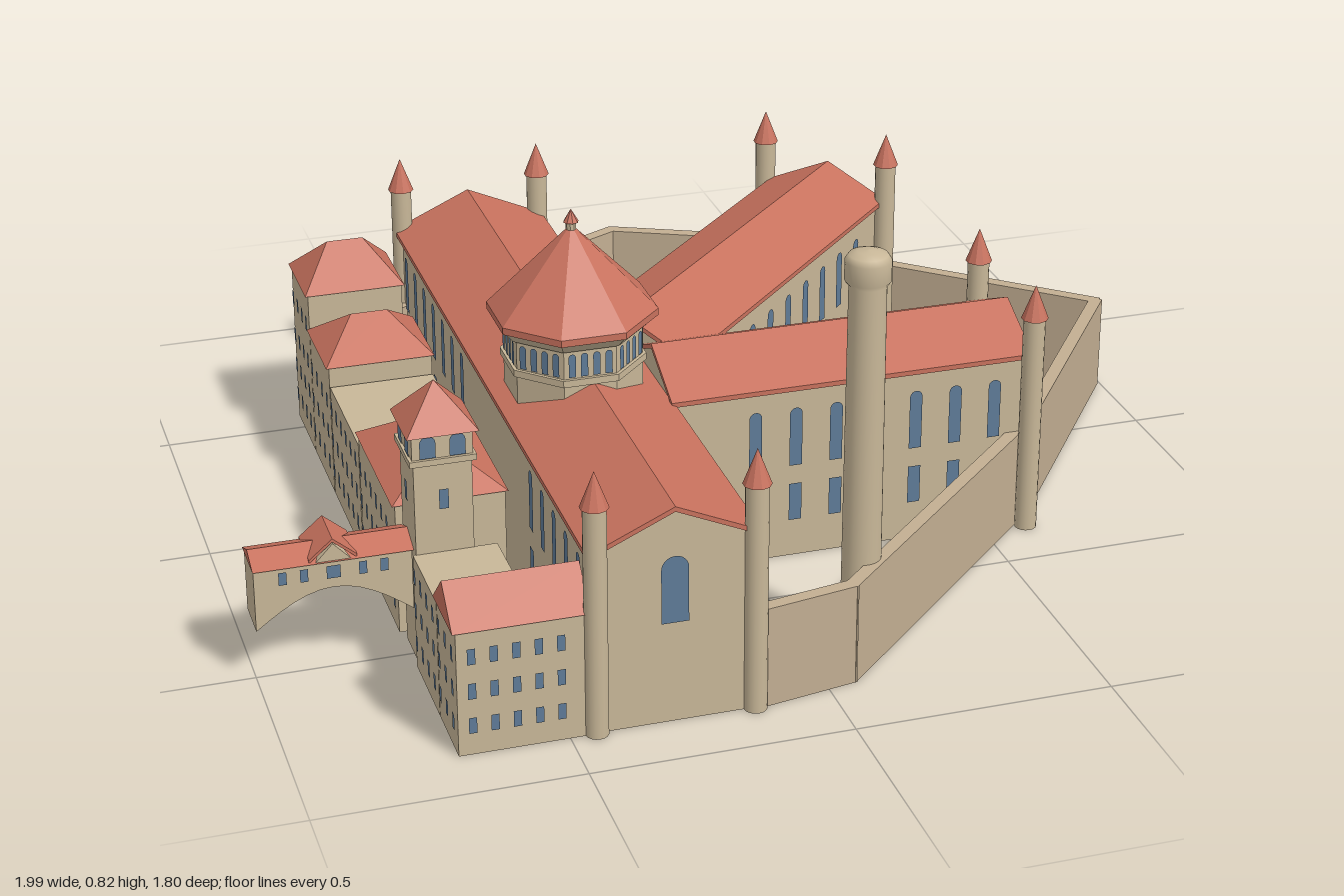
import * as THREE from 'three';

const D = THREE.DoubleSide;
const stone = new THREE.MeshStandardMaterial({ name: 'sandstone', color: 0xc8b798, side: D });
const rampart = new THREE.MeshStandardMaterial({ name: 'rampartStone', color: 0xc2ae92, side: D });
const tile = new THREE.MeshStandardMaterial({ name: 'redTile', color: 0xc8725e, side: D });
const glass = new THREE.MeshStandardMaterial({ name: 'blueGlass', color: 0x5f7b98, side: D });

function add(parent, name, geo, mat, x = 0, y = 0, z = 0, ry = 0) {
  const m = new THREE.Mesh(geo, mat);
  m.name = name;
  m.position.set(x, y, z);
  m.rotation.y = ry;
  parent.add(m);
  return m;
}

function group(parent, name, x = 0, z = 0, ry = 0) {
  const g = new THREE.Group();
  g.name = name;
  g.position.set(x, 0, z);
  g.rotation.y = ry;
  parent.add(g);
  return g;
}

function flat(geo) {
  const g = geo.index ? geo.toNonIndexed() : geo;
  g.computeVertexNormals();
  return g;
}

// Faceted prism or pyramid with flat sides parallel to the axes
const prism = (top, bottom, h, n, open = false) =>
  flat(new THREE.CylinderGeometry(top, bottom, h, n, 1, open).rotateY(Math.PI / n));

// Four walls without floor or ceiling
const shell = (w, h, d) =>
  flat(prism(Math.SQRT1_2, Math.SQRT1_2, 1, 4, true).scale(w, h, d));

// Hipped roof: the top of a box drawn in to a ridge
function hip(w, h, d, ridgeX, ridgeZ) {
  const g = new THREE.BoxGeometry(w, h, d);
  const p = g.attributes.position;
  for (let i = 0; i < p.count; i++) {
    if (p.getY(i) > 0) p.setXYZ(i, Math.sign(p.getX(i)) * ridgeX / 2, h / 2, Math.sign(p.getZ(i)) * ridgeZ / 2);
  }
  return flat(g);
}

function windowGeo(w, h, arched = true) {
  const s = new THREE.Shape();
  const top = arched ? h - w / 2 : h;
  s.moveTo(-w / 2, 0);
  s.lineTo(w / 2, 0);
  s.lineTo(w / 2, top);
  if (arched) s.absarc(0, top, w / 2, 0, Math.PI, false);
  else s.lineTo(-w / 2, top);
  s.closePath();
  return new THREE.ShapeGeometry(s, 6);
}

const extrude = (pts, depth) => new THREE.ExtrudeGeometry(
  new THREE.Shape(pts.map(p => new THREE.Vector2(...p))), { depth, bevelEnabled: false }).translate(0, 0, -depth / 2);

// Gabled hall running along its own z axis, outer end at +z
function hall(parent, name, x, z, ry, len, half, eave, slots) {
  const g = group(parent, name, x, z, ry);
  const ridge = 0.44, w = half - 0.012, t = 0.01, l = len - 0.012;
  const wallTop = eave + (ridge - eave) * (1 - w / half) - t;
  for (const s of [-1, 1]) {
    add(g, 'sideWall', new THREE.PlaneGeometry(l, wallTop), stone, s * w, wallTop / 2, 0, s * Math.PI / 2);
    const gable = new THREE.Shape([[-w, 0], [w, 0], [w, wallTop], [0, ridge - t], [-w, wallTop]].map(p => new THREE.Vector2(...p)));
    add(g, 'gableWall', new THREE.ShapeGeometry(gable), stone, 0, 0, s * l / 2, s > 0 ? 0 : Math.PI);
    for (const p of slots) {
      add(g, 'archedWindow', windowGeo(0.026, 0.125), glass, s * (w + 0.003), 0.2, p, s * Math.PI / 2);
      add(g, 'lowerWindow', windowGeo(0.026, 0.08, false), glass, s * (w + 0.003), 0.08, p, s * Math.PI / 2);
    }
  }
  add(g, 'gableWindow', windowGeo(0.052, 0.135), glass, 0, 0.205, l / 2 + 0.003);
  add(g, 'roof', extrude([[-half, eave - t], [0, ridge - t], [half, eave - t], [half, eave], [0, ridge], [-half, eave]], len), tile);
  return g;
}

// Side building: x and z limits, wall height, optional hipped roof, rows of small windows
function annex(parent, name, x0, x1, z0, z1, h, roof, rows) {
  const g = group(parent, name, (x0 + x1) / 2, (z0 + z1) / 2);
  const w = x1 - x0, d = z1 - z0;
  add(g, 'walls', shell(w - 0.012, h, d - 0.006), stone, 0, h / 2);
  if (roof) add(g, 'roof', hip(w, roof.h, d, roof.x, roof.z), tile, 0, h + roof.h / 2);
  else add(g, 'flatRoof', new THREE.BoxGeometry(w - 0.012, 0.008, d - 0.006), stone, 0, h - 0.004);
  const n = Math.max(1, Math.round(d / 0.045));
  for (const y of rows) for (let i = 0; i < n; i++) {
    add(g, 'smallWindow', windowGeo(0.015, 0.032, false), glass, -w / 2 + 0.003, y, ((i + 0.5) / n - 0.5) * d, -Math.PI / 2);
  }
  return g;
}

function range(from, step, n) {
  return Array.from({ length: n }, (_, i) => from + i * step);
}

export function createModel() {
  const root = new THREE.Group();
  root.name = 'walledHallComplex';

  // Three gabled halls
  const long = hall(root, 'longHall', -0.303, 0.115, 0, 1.53, 0.163, 0.367,
    [...range(-0.7, 0.083, 7), ...range(0.34, 0.083, 5)]);
  add(long, 'rearGableWindow', windowGeo(0.052, 0.135), glass, 0, 0.205, -0.763, Math.PI);
  hall(root, 'eastWing', 0.2225, 0.22, Math.PI / 2, 0.745, 0.138, 0.375, range(-0.2, 0.083, 7));
  hall(root, 'diagonalWing', 0.167, -0.247, Math.PI * 0.75, 0.925, 0.138, 0.375, range(-0.16, 0.083, 7));

  // Slender corner turrets
  for (const [x, z] of [[-0.45, -0.645], [-0.15, -0.645], [-0.45, 0.875], [-0.15, 0.875],
    [0.59, 0.075], [0.59, 0.37], [0.385, -0.68], [0.59, -0.47]]) {
    const g = group(root, 'cornerTurret', x, z);
    add(g, 'shaft', new THREE.CylinderGeometry(0.022, 0.022, 0.465, 16), stone, 0, 0.2325);
    add(g, 'cap', flat(new THREE.ConeGeometry(0.027, 0.07, 10)), tile, 0, 0.495);
  }

  // Octagonal crossing tower
  const tower = group(root, 'crossingTower', -0.31, 0.23);
  add(tower, 'drum', prism(0.135, 0.135, 0.53, 8, true), stone, 0, 0.265);
  add(tower, 'sillBand', prism(0.142, 0.142, 0.014, 8), stone, 0, 0.447);
  add(tower, 'cornice', prism(0.16, 0.142, 0.022, 8), stone, 0, 0.524);
  add(tower, 'eaves', prism(0.166, 0.166, 0.014, 8), tile, 0, 0.542);
  add(tower, 'roof', prism(0.008, 0.166, 0.16, 8), tile, 0, 0.629);
  add(tower, 'finialShaft', prism(0.01, 0.01, 0.025, 8), stone, 0, 0.711);
  add(tower, 'finialCap', flat(new THREE.ConeGeometry(0.015, 0.026, 8)), tile, 0, 0.735);
  for (let i = 0; i < 8; i++) {
    const face = group(tower, 'drumFace', 0, 0, i * Math.PI / 4);
    for (const x of range(-0.036, 0.024, 4)) {
      add(face, 'lancet', windowGeo(0.014, 0.048), glass, x, 0.458, 0.1278);
    }
  }

  // Chimney with rounded cap
  const stack = [[0.038, 0], [0.035, 0.755], [0.043, 0.765], [0.043, 0.803], [0.036, 0.814], [0.02, 0.82], [0, 0.822]];
  const half = stack.map(p => new THREE.Vector2(...p));
  add(root, 'chimney', new THREE.LatheGeometry(half, 24), stone, 0.1, 0, 0.74);

  // Perimeter wall
  const path = [[-0.15, 0.868], [0.05, 0.833], [0.61, 0.305], [0.98, -0.195], [0.34, -0.765], [0.085, -0.885], [-0.6, -0.55]];
  for (let i = 0; i < path.length - 1; i++) {
    const [ax, az] = path[i], [bx, bz] = path[i + 1];
    add(root, 'perimeterWall', new THREE.BoxGeometry(Math.hypot(bx - ax, bz - az) + 0.012, 0.203, 0.027), rampart,
      (ax + bx) / 2, 0.1015, (az + bz) / 2, Math.atan2(az - bz, bx - ax));
  }

  // Row of side buildings
  const rows = [0.045, 0.115, 0.185];
  const rear = annex(root, 'rearPavilion', -0.715, -0.505, -0.562, -0.382, 0.355, { h: 0.08, x: 0.075, z: 0 }, [...rows, 0.27]);
  for (const y of [...rows, 0.27]) for (const x of range(-0.075, 0.05, 4)) {
    add(rear, 'rearWindow', windowGeo(0.015, 0.032, false), glass, x, y, -0.09, Math.PI);
  }
  annex(root, 'lowPavilion', -0.715, -0.49, -0.385, -0.185, 0.28, { h: 0.07, x: 0.075, z: 0 }, rows);
  annex(root, 'flatRange', -0.715, -0.49, -0.185, 0.09, 0.24, null, rows);
  annex(root, 'middlePavilion', -0.715, -0.49, 0.09, 0.418, 0.27, { h: 0.075, x: 0, z: 0.11 }, rows);
  annex(root, 'flatLink', -0.712, -0.54, 0.545, 0.735, 0.235, null, rows);

  // Front side building, its ridge running across
  const front = annex(root, 'frontPavilion', -0.712, -0.46, 0.732, 0.88, 0.25, { h: 0.07, x: 0.252, z: 0 }, rows);
  for (const y of rows) for (const x of range(-0.093, 0.041, 5)) {
    add(front, 'frontWindow', windowGeo(0.015, 0.032, false), glass, x, y, 0.074);
  }

  // Gate tower
  const gate = group(root, 'gateTower', -0.645, 0.495);
  add(gate, 'shaft', shell(0.11, 0.425, 0.11), stone, 0, 0.2125);
  add(gate, 'ledge', new THREE.BoxGeometry(0.126, 0.012, 0.126), stone, 0, 0.424);
  add(gate, 'belfry', shell(0.114, 0.055, 0.114), stone, 0, 0.455);
  add(gate, 'roof', hip(0.136, 0.082, 0.136, 0, 0), tile, 0, 0.519);
  for (let i = 0; i < 4; i++) {
    const face = group(gate, 'gateFace', 0, 0, i * Math.PI / 2);
    for (const x of [-0.028, 0.028]) add(face, 'belfryWindow', windowGeo(0.03, 0.045), glass, x, 0.432, 0.06);
    add(face, 'shaftWindow', windowGeo(0.018, 0.04, false), glass, 0, 0.325, 0.058);
  }

  // Arched bridge with tiled roof and a small cross gable
  const bridge = group(root, 'bridge', -0.85, 0.478);
  const arch = range(0, 1, 13).map(i => {
    const x = -0.148 + i * 0.296 / 12;
    return [x, 0.11 + 0.07 * Math.cos(x / 0.148 * Math.PI / 2)];
  });
  add(bridge, 'archedBody', extrude([...arch, [0.148, 0.238], [-0.148, 0.238]], 0.09), stone);
  add(bridge, 'roof', hip(0.3, 0.022, 0.106, 0.3, 0), tile, 0, 0.247);
  add(bridge, 'crossGable', extrude([[-0.034, 0.236], [0.034, 0.236], [0, 0.272]], 0.1), stone);
  add(bridge, 'crossGableRoof', extrude([[-0.045, 0.236], [0, 0.274], [0.045, 0.236], [0.045, 0.243], [0, 0.281], [-0.045, 0.243]], 0.096), tile);
  for (const s of [-1, 1]) for (const x of [-0.095, -0.055, 0, 0.055, 0.095]) {
    add(bridge, 'bridgeWindow', windowGeo(x ? 0.015 : 0.026, 0.026, false), glass, x, 0.2, s * 0.048, s > 0 ? 0 : Math.PI);
  }
  return root;
}
